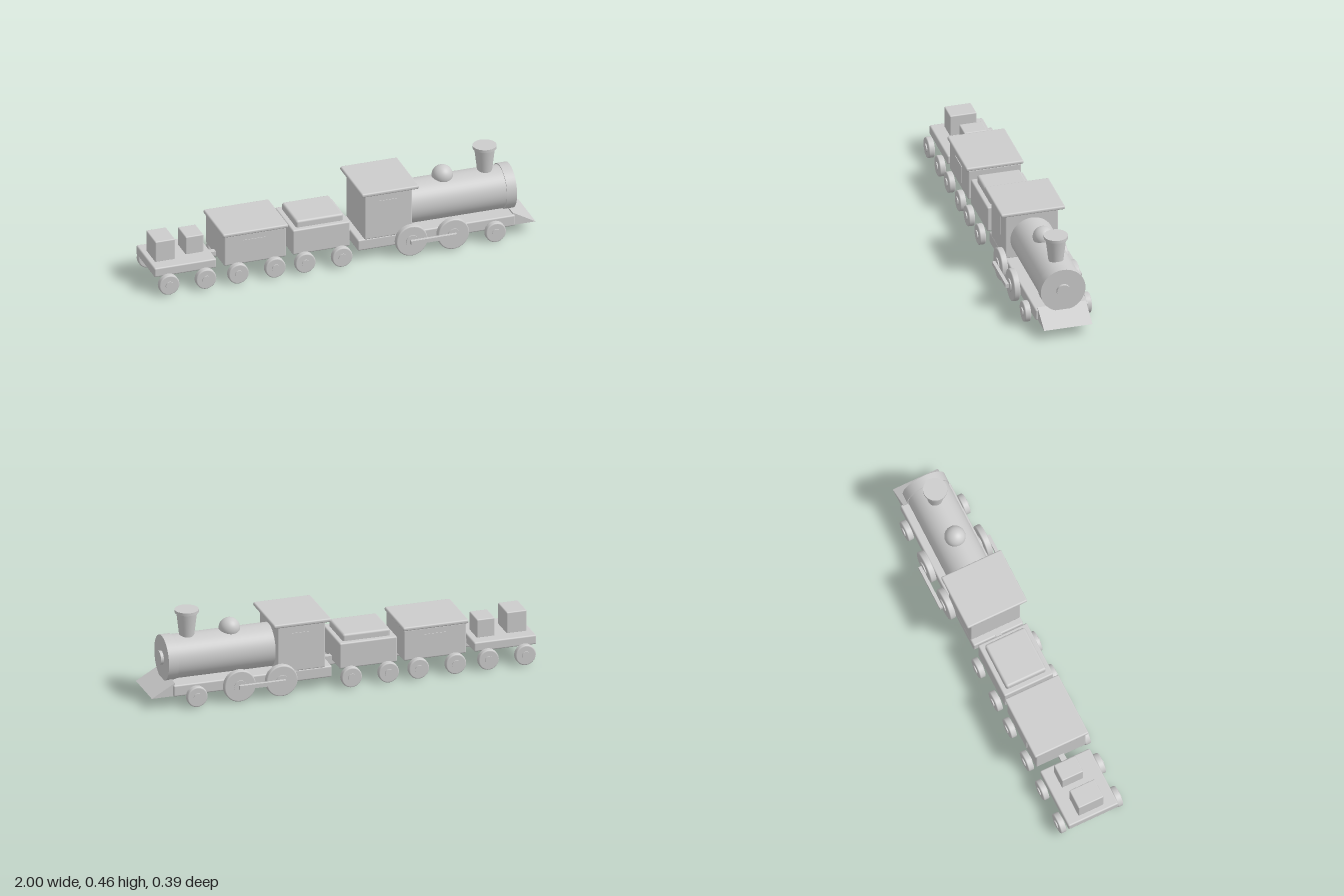
import * as THREE from 'three';
import { RoundedBoxGeometry } from 'three/addons/geometries/RoundedBoxGeometry.js';

const material = new THREE.MeshStandardMaterial({ color: 0xcccccc });

function add(parent, name, geometry, x = 0, y = 0, z = 0) {
  const mesh = new THREE.Mesh(geometry, material);
  mesh.name = name;
  mesh.position.set(x, y, z);
  parent.add(mesh);
  return mesh;
}

// Box given by its extents along x and y, its depth and its z centre
function block(parent, name, x0, x1, y0, y1, depth, radius = 0.008, z = 0) {
  const w = x1 - x0, h = y1 - y0;
  const geometry = radius
    ? new RoundedBoxGeometry(w, h, depth, 3, radius)
    : new THREE.BoxGeometry(w, h, depth);
  return add(parent, name, geometry, (x0 + x1) / 2, (y0 + y1) / 2, z);
}

// Cylinder lying along the x axis
function barrel(parent, name, x0, x1, y, radius) {
  const geometry = new THREE.CylinderGeometry(radius, radius, x1 - x0, 48).rotateZ(-Math.PI / 2);
  return add(parent, name, geometry, (x0 + x1) / 2, y, 0);
}

// Disc with softened rims, axis along z
function wheelGeometry(radius) {
  const half = 0.016, b = 0.006, points = [new THREE.Vector2(0, -half), new THREE.Vector2(radius - b, -half)];
  for (const [cy, start] of [[-half + b, -Math.PI / 2], [half - b, 0]]) {
    for (let i = 0; i <= 4; i++) {
      const a = start + (i / 4) * Math.PI / 2;
      points.push(new THREE.Vector2(radius - b + b * Math.cos(a), cy + b * Math.sin(a)));
    }
  }
  points.push(new THREE.Vector2(radius - b, half), new THREE.Vector2(0, half));
  return new THREE.LatheGeometry(points, 40).rotateX(Math.PI / 2);
}

// A wheel with its hub on both sides
function wheelPair(parent, x, radius, hubRadius) {
  for (const side of [1, -1]) {
    const wheel = new THREE.Group();
    wheel.name = side > 0 ? 'leftWheel' : 'rightWheel';
    wheel.position.set(x, radius, side * 0.156);
    add(wheel, 'wheelDisc', wheelGeometry(radius));
    add(wheel, 'wheelHub', new THREE.CylinderGeometry(hubRadius, hubRadius, 0.043, 28).rotateX(Math.PI / 2));
    parent.add(wheel);
  }
}

function group(parent, name) {
  const g = new THREE.Group();
  g.name = name;
  parent.add(g);
  return g;
}

function buildLocomotive(parent) {
  const loco = group(parent, 'locomotive');
  block(loco, 'chassis', 0.065, 0.89, 0.055, 0.115, 0.274);

  // Cab, roof and raised side windows
  block(loco, 'cab', 0.1, 0.35, 0.11, 0.362, 0.274);
  block(loco, 'cabRoof', 0.077, 0.377, 0.36, 0.38, 0.33);
  for (const side of [1, -1]) {
    block(loco, 'cabWindow', 0.175, 0.275, 0.21, 0.316, 0.008, 0, side * 0.136);
  }

  // Boiler and smokebox
  barrel(loco, 'boiler', 0.33, 0.87, 0.216, 0.11);
  barrel(loco, 'smokebox', 0.855, 0.907, 0.216, 0.115);
  barrel(loco, 'smokeboxDoor', 0.9, 0.922, 0.216, 0.035);

  // Steam dome and flared chimney
  add(loco, 'steamDome', new THREE.SphereGeometry(0.053, 36, 24), 0.555, 0.33, 0);
  add(loco, 'chimney', new THREE.CylinderGeometry(0.052, 0.035, 0.143, 36), 0.777, 0.3735, 0);
  add(loco, 'chimneyCap', new THREE.CylinderGeometry(0.06, 0.06, 0.015, 36), 0.777, 0.4505, 0);

  // Wedge-shaped cowcatcher
  const wedge = new THREE.Shape([
    new THREE.Vector2(0.88, 0.055), new THREE.Vector2(1.0, 0.055), new THREE.Vector2(0.88, 0.124),
  ]);
  add(loco, 'cowcatcher', new THREE.ExtrudeGeometry(wedge, { depth: 0.248, bevelEnabled: false }), 0, 0, -0.124);

  // Running gear
  wheelPair(loco, 0.337, 0.082, 0.032);
  wheelPair(loco, 0.555, 0.082, 0.032);
  wheelPair(loco, 0.777, 0.053, 0.021);
  for (const side of [1, -1]) {
    block(loco, 'couplingRod', 0.324, 0.565, 0.073, 0.094, 0.017, 0, side * 0.188);
  }
}

function buildTender(parent) {
  const tender = group(parent, 'tender');
  block(tender, 'tenderBody', -0.275, 0.025, 0.09, 0.226, 0.27);
  block(tender, 'tenderLoad', -0.248, 0, 0.215, 0.262, 0.22, 0.012);
  for (const x of [-0.22, -0.027]) wheelPair(tender, x, 0.053, 0.021);
}

function buildCoveredWagon(parent) {
  const wagon = group(parent, 'coveredWagon');
  block(wagon, 'wagonBody', -0.635, -0.308, 0.09, 0.255, 0.274);
  block(wagon, 'wagonRoof', -0.645, -0.302, 0.252, 0.272, 0.296);
  for (const side of [1, -1]) {
    block(wagon, 'wagonDoor', -0.535, -0.413, 0.13, 0.22, 0.008, 0, side * 0.136);
  }
  for (const x of [-0.57, -0.377]) wheelPair(wagon, x, 0.053, 0.021);
}

function buildFlatWagon(parent) {
  const wagon = group(parent, 'flatWagon');
  block(wagon, 'flatBed', -1.0, -0.675, 0.09, 0.14, 0.274);
  block(wagon, 'largeCrate', -0.972, -0.867, 0.135, 0.25, 0.138, 0.006);
  block(wagon, 'smallCrate', -0.803, -0.709, 0.135, 0.235, 0.118, 0.006, -0.018);
  for (const x of [-0.933, -0.74]) wheelPair(wagon, x, 0.053, 0.021);
}

export function createModel() {
  const train = new THREE.Group();
  train.name = 'toyTrain';
  buildLocomotive(train);
  buildTender(train);
  buildCoveredWagon(train);
  buildFlatWagon(train);

  // Bars joining the carriages
  for (const [x0, x1] of [[0.015, 0.075], [-0.318, -0.265], [-0.685, -0.625]]) {
    block(train, 'coupler', x0, x1, 0.093, 0.115, 0.03, 0);
  }
  return train;
}
